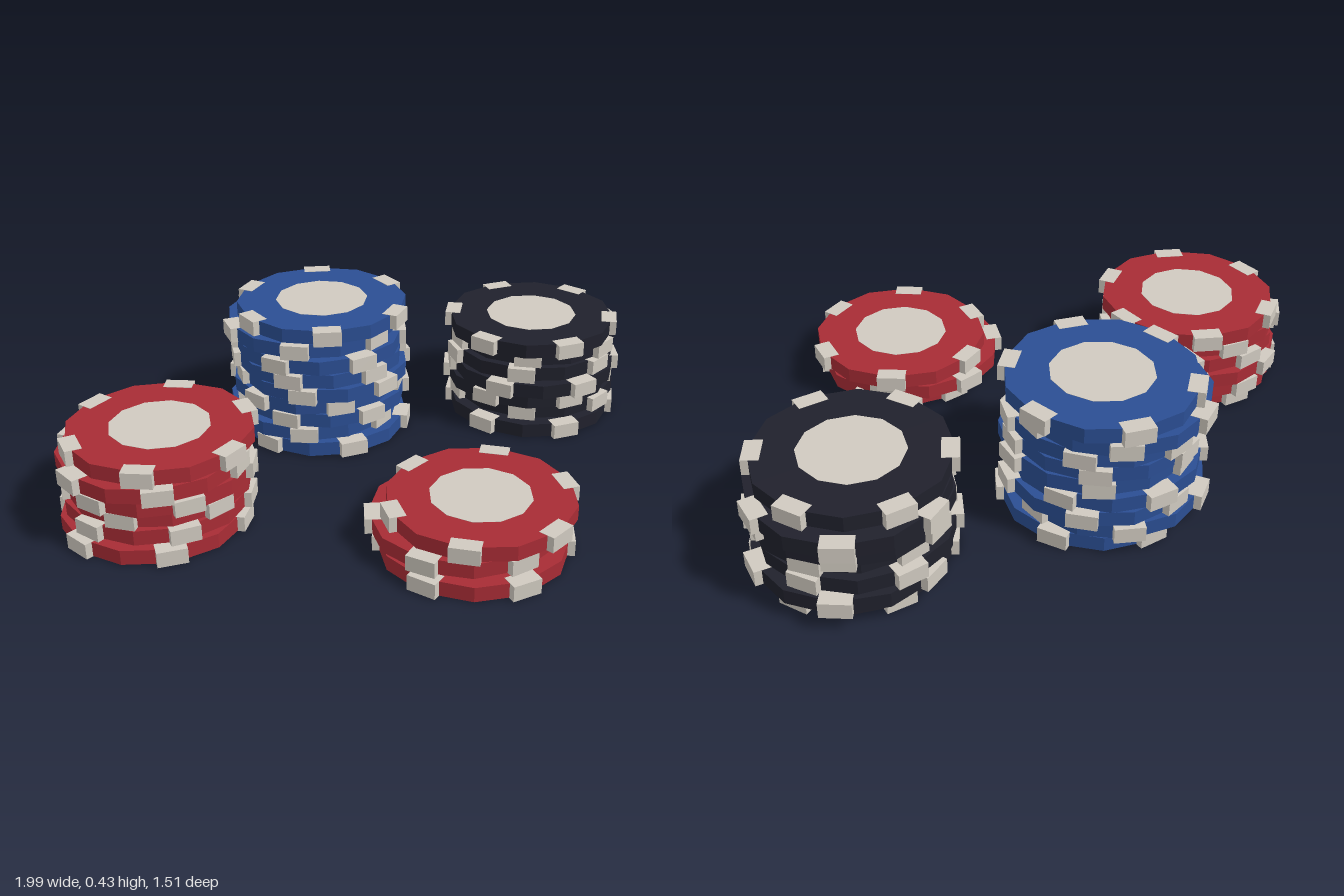
import * as THREE from 'three';

const H = 0.0475; // chip thickness
const SIDES = 12;

function material(name, color) {
  const m = new THREE.MeshStandardMaterial({ color, flatShading: true });
  m.name = name;
  return m;
}

export function createModel() {
  const red = material('red', 0xa82c35);
  const blue = material('blue', 0x2b4e93);
  const black = material('black', 0x20212c);
  const cream = material('cream', 0xd0cac0);

  // shared chip parts
  const bodyGeo = new THREE.CylinderGeometry(0.275, 0.275, H - 0.002, SIDES);
  const inlayGeo = new THREE.CylinderGeometry(0.149, 0.149, H - 0.0005, SIDES);
  const markGeo = new THREE.BoxGeometry(0.05, H, 0.088);

  function mesh(name, geo, mat) {
    const m = new THREE.Mesh(geo, mat);
    m.name = name;
    return m;
  }

  // one chip: angle in degrees, measured from +x towards +z
  function makeChip(mat, angle) {
    const chip = new THREE.Group();
    chip.name = 'chip';
    chip.add(mesh('chipBody', bodyGeo, mat), mesh('centreInlay', inlayGeo, cream));
    for (let i = 0; i < 6; i++) {
      const a = i * Math.PI / 3;
      const mark = mesh('edgeMark', markGeo, cream);
      mark.position.set(Math.cos(a) * 0.26, 0, Math.sin(a) * 0.26);
      mark.rotation.y = -a;
      chip.add(mark);
    }
    chip.rotation.y = -THREE.MathUtils.degToRad(angle);
    return chip;
  }

  // each stack lists its chips from the bottom up: x, z, angle
  const stacks = [
    ['leftBlackStack', black, [
      [0.67, -0.155, 42], [0.705, -0.185, 15], [0.675, -0.18, 37], [0.675, -0.15, 31],
      [0.685, -0.18, 14], [0.705, -0.19, 12], [0.665, -0.16, -19]]],
    ['rightRedStack', red, [
      [-0.712, -0.16, 44], [-0.69, -0.18, 38], [-0.68, -0.19, 16],
      [-0.69, -0.17, 35], [-0.705, -0.165, 50], [-0.675, -0.17, 6]]],
    ['backBlueStack', blue, [
      [0.01, -0.425, 40], [-0.015, -0.46, 5], [0.015, -0.44, 25], [-0.005, -0.45, 43],
      [0.01, -0.42, 14], [0, -0.435, 20], [0, -0.435, 29], [-0.01, -0.465, 10],
      [0.02, -0.445, -4]]],
    ['frontRedStack', red, [
      [-0.02, 0.475, 35], [-0.02, 0.43, 30], [0.02, 0.452, 15]]],
  ];

  const model = new THREE.Group();
  model.name = 'chipStacks';
  for (const [name, mat, chips] of stacks) {
    const stack = new THREE.Group();
    stack.name = name;
    chips.forEach(([x, z, angle], i) => {
      const chip = makeChip(mat, angle);
      chip.position.set(x, H * (i + 0.5), z);
      stack.add(chip);
    });
    model.add(stack);
  }
  return model;
}
